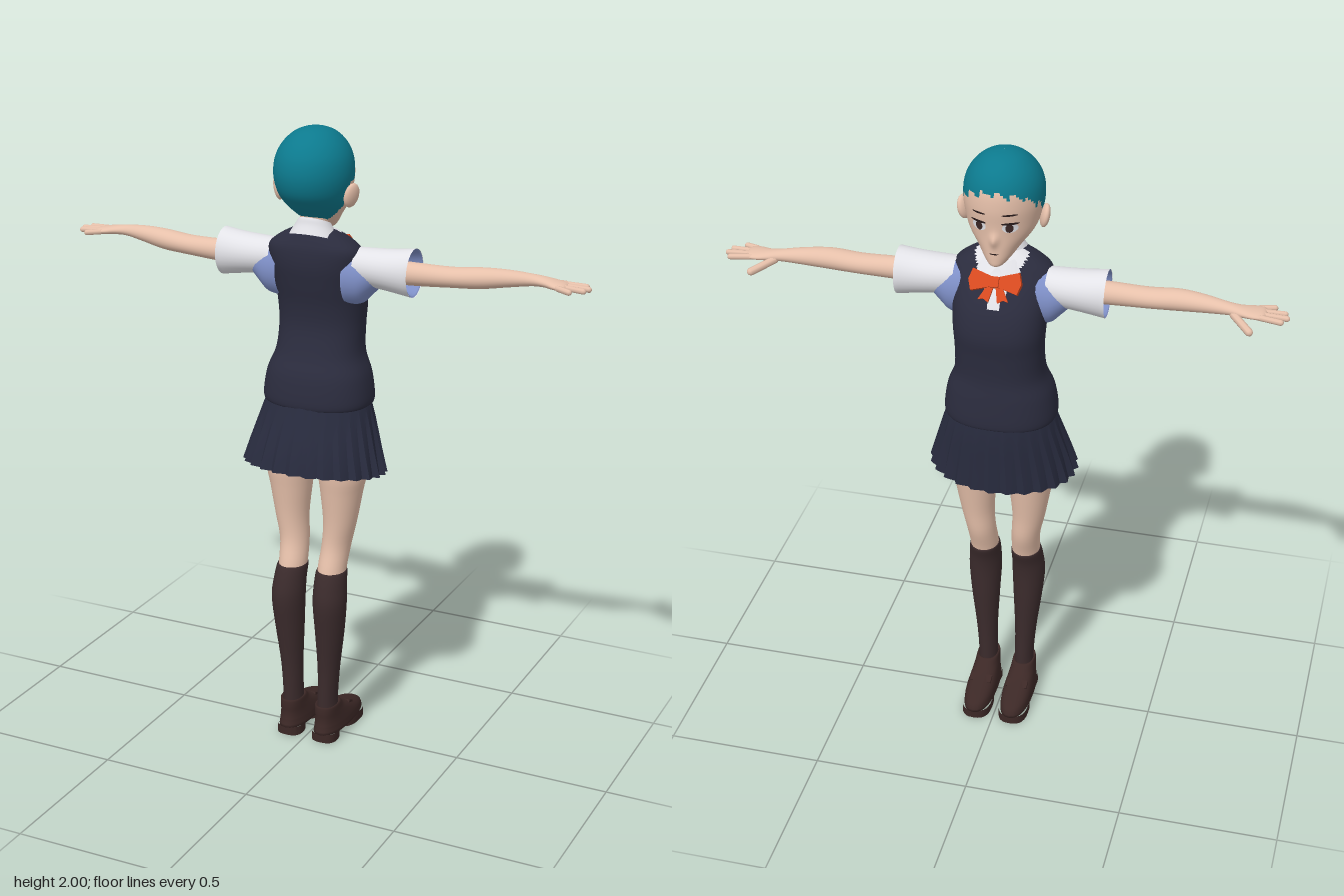
import * as THREE from 'three';
import { toCreasedNormals } from 'three/addons/utils/BufferGeometryUtils.js';

const mat = (name, color, side = THREE.FrontSide) => {
  const m = new THREE.MeshStandardMaterial({ color, side });
  m.name = name;
  return m;
};

// Smoothly resample rows of numbers along their index
function resample(rows, sub) {
  const size = rows[0].length;
  const curve = new THREE.CubicInterpolant(rows.map((_, i) => i), rows.flat(), size);
  const out = [];
  for (let i = 0; i <= (rows.length - 1) * sub; i++) out.push(Array.from(curve.evaluate(i / sub)));
  return out;
}

// Skin over elliptical rings. Ring: [t, a, b, ra, rb]; t runs along y (a, b = x, z) or along x (a, b = y, z)
function loft(rings, { seg = 28, sub = 4, axis = 'y', e = 1, warp, pick } = {}) {
  const rows = sub > 1 ? resample(rings, sub) : rings;
  const pos = [];
  const power = (v) => Math.sign(v) * Math.abs(v) ** e;
  rows.forEach(([t, a, b, ra, rb], i) => {
    for (let j = 0; j < seg; j++) {
      const ang = (j / seg) * Math.PI * 2;
      const u = a + ra * power(Math.cos(ang)), w = b + rb * power(Math.sin(ang));
      const p = axis === 'y' ? new THREE.Vector3(u, t, w) : new THREE.Vector3(t, u, w);
      if (warp) warp(p, j, i / (rows.length - 1));
      pos.push(p);
    }
  });
  const buckets = [[], []];
  for (let i = 0; i < rows.length - 1; i++) {
    for (let j = 0; j < seg; j++) {
      const k = (j + 1) % seg;
      const [A, B, C, D] = [i * seg + j, (i + 1) * seg + j, (i + 1) * seg + k, i * seg + k];
      const mid = pos[A].clone().add(pos[B]).add(pos[C]).add(pos[D]).multiplyScalar(0.25);
      const quad = axis === 'y' ? [A, B, D, B, C, D] : [A, D, B, B, D, C];
      buckets[pick ? pick(mid, j) : 0].push(...quad);
    }
  }
  const g = new THREE.BufferGeometry().setFromPoints(pos);
  g.setIndex(buckets.flat());
  if (pick) {
    g.addGroup(0, buckets[0].length, 0);
    g.addGroup(buckets[0].length, buckets[1].length, 1);
  }
  g.computeVertexNormals();
  return g;
}

// Mirror a geometry across x and restore its winding
function mirrored(geo) {
  const g = geo.clone();
  const n = g.index ? g.index.count : g.attributes.position.count;
  const idx = Array.from({ length: n }, (_, i) => (g.index ? g.index.getX(i) : i));
  for (let i = 0; i < n; i += 3) [idx[i], idx[i + 1]] = [idx[i + 1], idx[i]];
  g.setIndex(idx);
  return g.applyMatrix4(new THREE.Matrix4().makeScale(-1, 1, 1));
}

// Rounded finger between two points
function finger(a, b, r) {
  const p = new THREE.Vector3(...a), q = new THREE.Vector3(...b), d = q.clone().sub(p);
  const g = new THREE.CapsuleGeometry(r, d.length() - r, 4, 8);
  g.applyQuaternion(new THREE.Quaternion().setFromUnitVectors(new THREE.Vector3(0, 1, 0), d.normalize()));
  p.add(q).multiplyScalar(0.5);
  return g.translate(p.x, p.y, p.z);
}

const shape = (pts) => new THREE.Shape(pts.map(([x, y]) => new THREE.Vector2(x, y)));

export function createModel() {
  const root = new THREE.Group();
  const DS = THREE.DoubleSide;
  const hair = mat('teal hair', 0x0c7a8e), skin = mat('skin', 0xe6c0aa), white = mat('white shirt', 0xe9e9ee, DS);
  const blue = mat('blue shirt shade', 0x7f90c8), vest = mat('navy vest', 0x2b2c3e), skirt = mat('navy skirt', 0x282b3e, DS);
  const sock = mat('brown sock', 0x3b2b2c), shoe = mat('brown shoe', 0x3c2826), red = mat('orange ribbon', 0xd84a20, DS);
  const dark = mat('dark eye', 0x2a1c1c);

  const add = (name, geo, m) => {
    const mesh = new THREE.Mesh(geo, m);
    mesh.name = name;
    root.add(mesh);
    return mesh;
  };
  const pair = (name, geo, m) => {
    add(name + 'A', geo, m);
    add(name + 'B', mirrored(geo), m);
  };

  // Head: cropped hair and face share one surface; face looks toward -z
  const headRings = [
    [1.672, 0, -0.085, 0.003, 0.01], [1.68, 0, -0.082, 0.022, 0.028], [1.70, 0, -0.06, 0.042, 0.053],
    [1.73, 0, -0.03, 0.066, 0.083], [1.77, 0, -0.006, 0.097, 0.106], [1.81, 0, 0.009, 0.112, 0.124],
    [1.86, 0, 0.014, 0.12, 0.133], [1.91, 0, 0.013, 0.115, 0.127], [1.95, 0, 0.01, 0.096, 0.106],
    [1.98, 0, 0.008, 0.066, 0.073], [1.995, 0, 0.008, 0.034, 0.037], [2.0, 0, 0.008, 0.001, 0.001]];
  const isFace = (p, j) => {
    const edge = 1.83 + Math.max(0, 0.01 - p.z) * 0.66 + (j % 5 - 2) * 0.005;
    return p.z < 0.012 && p.y < edge ? 1 : 0;
  };
  const nose = (p) => {
    if (p.z < -0.05) p.z -= 0.014 * Math.exp(-((p.x / 0.012) ** 2) - ((p.y - 1.765) / 0.02) ** 2);
  };
  add('head', loft(headRings, { seg: 80, sub: 6, warp: nose, pick: isFace }), [hair, skin]);
  const ear = new THREE.SphereGeometry(1, 16, 12).scale(0.014, 0.038, 0.028).rotateY(-0.4).rotateZ(-0.2);
  pair('ear', ear.translate(0.122, 1.802, 0.012), skin);

  // Eyes, brows and mouth: thin plates laid on the face
  const fine = resample(headRings, 6);
  const faceZ = (x, y) => {
    const i = Math.max(1, fine.findIndex((r) => r[0] >= y));
    const k = (y - fine[i - 1][0]) / (fine[i][0] - fine[i - 1][0]);
    const [, , cz, rx, rz] = fine[i].map((v, c) => THREE.MathUtils.lerp(fine[i - 1][c], v, k));
    return cz - rz * Math.sqrt(Math.max(0, 1 - (x / rx) ** 2));
  };
  const plate = (x, y, rx, ry, off) => {
    const g = new THREE.CircleGeometry(1, 20).rotateY(Math.PI).scale(rx, ry, 1).translate(x, y, 0);
    const p = g.attributes.position;
    for (let i = 0; i < p.count; i++) p.setZ(i, faceZ(p.getX(i), p.getY(i)) - off);
    g.computeVertexNormals();
    return g;
  };
  pair('eyeWhite', plate(0.046, 1.808, 0.022, 0.016, 0.003), white);
  pair('iris', plate(0.045, 1.808, 0.011, 0.014, 0.005), shoe);
  pair('lash', plate(0.047, 1.823, 0.025, 0.004, 0.006), dark);
  pair('brow', plate(0.046, 1.85, 0.022, 0.003, 0.003), dark);
  add('mouth', plate(0, 1.722, 0.014, 0.002, 0.003), dark);

  add('neck', loft([[1.6, 0, 0.01, 0.05, 0.048], [1.66, 0, 0.015, 0.044, 0.044], [1.76, 0, 0.015, 0.042, 0.044]]), skin);

  // Knitted vest with a shirt-coloured V at the neck
  const inV = (p) => (p.z < 0 && Math.abs(p.x) < (p.y - 1.53) * 0.55 ? 1 : 0);
  add('vest', loft([
    [1.15, 0, -0.022, 0.155, 0.12], [1.138, 0, -0.022, 0.17, 0.131], [1.165, 0, -0.022, 0.175, 0.134],
    [1.235, 0, -0.025, 0.164, 0.126], [1.30, 0, -0.034, 0.14, 0.11], [1.38, 0, -0.046, 0.136, 0.103],
    [1.45, 0, -0.048, 0.14, 0.108], [1.52, 0, -0.033, 0.145, 0.108], [1.58, 0, -0.012, 0.15, 0.098],
    [1.63, 0, 0.005, 0.15, 0.08], [1.66, 0, 0.008, 0.12, 0.067], [1.685, 0, 0.01, 0.075, 0.05],
    [1.695, 0, 0.012, 0.045, 0.04]], { seg: 72, sub: 5, e: 0.85, pick: inV }), [vest, white]);

  // Shirt collar and its two points
  const lean = (p) => { p.y += (p.z - 0.01) * 0.42; };
  add('collar', loft([[1.655, 0, 0.005, 0.088, 0.075], [1.685, 0, 0.008, 0.066, 0.06], [1.705, 0, 0.01, 0.053, 0.053],
    [1.71, 0, 0.01, 0.048, 0.048], [1.68, 0, 0.01, 0.046, 0.046]], { warp: lean }), white);
  const wing = new THREE.ShapeGeometry(shape([[0, 0.03], [0.045, 0.055], [0.085, 0.02], [0.05, -0.04]]));
  const wp = wing.attributes.position;
  for (let i = 0; i < wp.count; i++) wp.setZ(i, 4 * wp.getX(i) ** 2);
  wing.computeVertexNormals();
  pair('collarPoint', wing.rotateX(0.7).translate(0, 1.64, -0.088), white);

  // Ribbon bow
  const ribbon = (pts, depth) => new THREE.ExtrudeGeometry(shape(pts), { depth, bevelEnabled: false })
    .translate(0, 0, -depth / 2).rotateX(0.6).translate(0, 1.622, -0.098);
  pair('bowLoop', ribbon([[0, -0.012], [0.07, -0.032], [0.08, 0], [0.07, 0.034], [0, 0.012]], 0.022), red);
  pair('bowTail', ribbon([[0, 0], [0.014, -0.062], [0.03, -0.052], [0.046, -0.056], [0.016, 0]], 0.008), red);
  add('bowKnot', new THREE.BoxGeometry(0.026, 0.032, 0.034).rotateX(0.6).translate(0, 1.622, -0.1), red);

  // Knife-pleated skirt
  const pleat = (p, j, t) => {
    const s = 1 + (1 - t) * 0.07 * ((j % 3) / 2 - 0.6);
    p.set(p.x * s, p.y + (1 - t) * p.z * 0.1, p.z * s);
  };
  add('skirt', toCreasedNormals(loft([
    [0.926, 0, 0.01, 0.232, 0.165], [1.0, 0, 0.002, 0.212, 0.155], [1.1, 0, -0.015, 0.183, 0.139],
    [1.165, 0, -0.022, 0.163, 0.126]], { seg: 78, sub: 2, warp: pleat }), 0.4), skirt);

  // Legs and knee socks
  pair('leg', loft([
    [0.55, 0.07, 0.035, 0.044, 0.052], [0.6, 0.069, 0.024, 0.045, 0.053], [0.67, 0.074, 0.004, 0.046, 0.055],
    [0.75, 0.084, 0, 0.053, 0.06], [0.85, 0.088, -0.002, 0.067, 0.073], [0.93, 0.09, -0.003, 0.079, 0.083],
    [1.08, 0.082, -0.01, 0.08, 0.09]]), skin);
  pair('sock', loft([
    [0.07, 0.062, 0.042, 0.034, 0.042], [0.14, 0.062, 0.042, 0.031, 0.042], [0.25, 0.066, 0.043, 0.035, 0.043],
    [0.38, 0.071, 0.048, 0.046, 0.054], [0.48, 0.073, 0.053, 0.053, 0.061], [0.54, 0.071, 0.045, 0.051, 0.06],
    [0.585, 0.069, 0.03, 0.048, 0.059], [0.588, 0.069, 0.03, 0.042, 0.05]]), sock);

  // Loafers: upper, heel block, front sole and strap
  pair('shoeUpper', loft([
    [0.022, 0.062, -0.035, 0.002, 0.01], [0.023, 0.062, -0.035, 0.046, 0.13], [0.045, 0.062, -0.035, 0.049, 0.135],
    [0.062, 0.062, -0.026, 0.047, 0.122], [0.08, 0.062, 0, 0.043, 0.094], [0.1, 0.062, 0.03, 0.039, 0.065],
    [0.122, 0.062, 0.043, 0.036, 0.05], [0.118, 0.062, 0.043, 0.028, 0.04]], { sub: 3, e: 0.85 }), shoe);
  const block = (cz, rx, rz) => toCreasedNormals(loft([
    [0, 0.062, cz, 0.001, 0.001], [0, 0.062, cz, rx, rz], [0.03, 0.062, cz, rx, rz]], { sub: 1, e: 0.75 }), 0.6);
  pair('heel', block(0.058, 0.042, 0.042), shoe);
  pair('frontSole', block(-0.1, 0.048, 0.07), shoe);
  pair('shoeStrap', new THREE.BoxGeometry(0.07, 0.01, 0.028).rotateX(-0.4).translate(0.062, 0.083, -0.062), shoe);

  // Armhole shirt and short sleeves, with shaded lining
  pair('armhole', loft([
    [0.11, 1.552, -0.01, 0.09, 0.075], [0.153, 1.552, -0.01, 0.083, 0.07], [0.18, 1.56, -0.01, 0.066, 0.062],
    [0.21, 1.575, -0.01, 0.05, 0.05]], { axis: 'x' }), blue);
  pair('sleeve', loft([
    [0.14, 1.585, -0.008, 0.056, 0.06], [0.2, 1.583, -0.01, 0.06, 0.065], [0.26, 1.581, -0.011, 0.066, 0.067],
    [0.32, 1.58, -0.012, 0.075, 0.068]], { axis: 'x' }), white);
  pair('sleeveLining', loft([
    [0.319, 1.58, -0.012, 0.074, 0.067], [0.316, 1.58, -0.012, 0.069, 0.062], [0.24, 1.58, -0.011, 0.056, 0.056],
    [0.2, 1.58, -0.01, 0.03, 0.03]], { axis: 'x', sub: 1 }), blue);

  // Arms, palms and fingers
  pair('arm', loft([
    [0.16, 1.578, -0.005, 0.038, 0.04], [0.32, 1.58, -0.005, 0.035, 0.036], [0.44, 1.583, -0.01, 0.031, 0.037],
    [0.53, 1.59, -0.014, 0.032, 0.037], [0.61, 1.595, -0.028, 0.026, 0.031], [0.68, 1.596, -0.041, 0.018, 0.024],
    [0.72, 1.594, -0.044, 0.015, 0.028], [0.755, 1.591, -0.038, 0.013, 0.037], [0.785, 1.589, -0.034, 0.01, 0.034],
    [0.795, 1.588, -0.034, 0.001, 0.004]], { axis: 'x' }), skin);
  const tips = [[0.845, -0.072], [0.86, -0.045], [0.852, -0.018], [0.818, 0.012]];
  tips.forEach(([x, z], i) =>
    pair('finger' + (i + 1), finger([0.765, 1.59, -0.062 + i * 0.018], [x - 0.004, 1.586, z], 0.009), skin));
  pair('thumb', finger([0.695, 1.588, -0.055], [0.757, 1.57, -0.126], 0.012), skin);

  return root;
}
